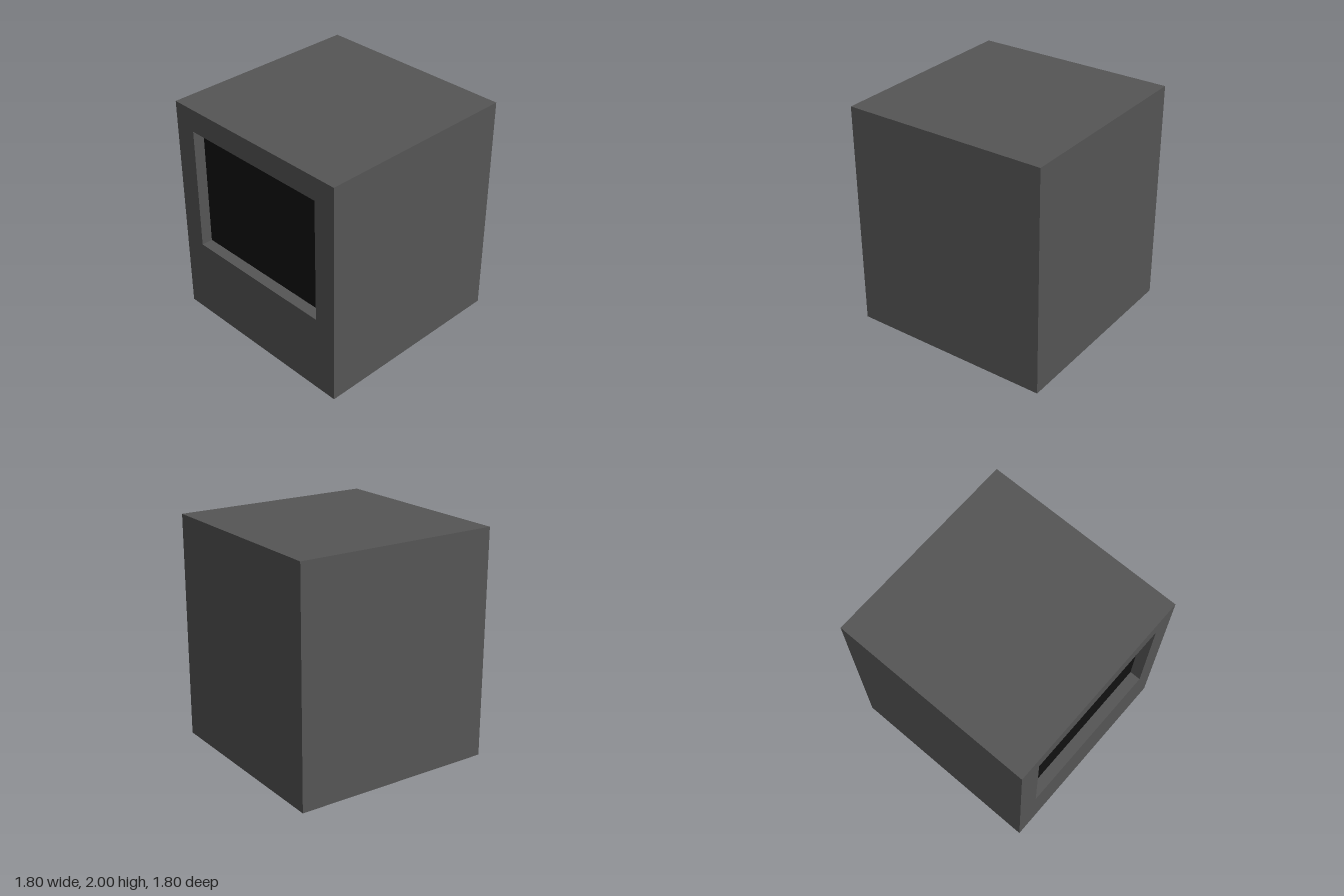
import * as THREE from 'three';

const W = 1.8, H = 2, D = 1.8;                 // cabinet size
const SW = 1.4, SH = 1.1, SY = 1.25, RECESS = 0.1; // screen opening

// Box keeping only the listed sides (0 +x, 1 -x, 2 +y, 3 -y, 4 +z, 5 -z), optionally facing inwards
function openBox(w, h, d, sides, inward = false) {
  const geo = new THREE.BoxGeometry(w, h, d);
  const all = Array.from(geo.index.array);
  const kept = sides.flatMap((s) => all.slice(s * 6, s * 6 + 6));
  geo.setIndex(inward ? kept.reverse() : kept);
  geo.clearGroups();
  if (inward) {
    const n = geo.attributes.normal;
    for (let i = 0; i < n.count; i++) n.setXYZ(i, -n.getX(i), -n.getY(i), -n.getZ(i));
  }
  return geo;
}

function rectangle(Path, w, h, y) {
  return new Path([
    [-w / 2, y - h / 2], [w / 2, y - h / 2], [w / 2, y + h / 2], [-w / 2, y + h / 2],
  ].map(([px, py]) => new THREE.Vector2(px, py)));
}

export function createModel() {
  const group = new THREE.Group();
  group.name = 'monitor';

  const casing = new THREE.MeshStandardMaterial({ name: 'casing grey', color: 0x555555 });
  const glass = new THREE.MeshStandardMaterial({ name: 'screen black', color: 0x111111 });

  const add = (name, geometry, material, y, z) => {
    const mesh = new THREE.Mesh(geometry, material);
    mesh.name = name;
    mesh.position.set(0, y, z);
    group.add(mesh);
  };

  // Outer casing, without its front
  add('casing', openBox(W, H, D, [0, 1, 2, 3, 5]), casing, H / 2, 0);

  // Front panel with the screen opening
  const front = rectangle(THREE.Shape, W, H, H / 2);
  front.holes.push(rectangle(THREE.Path, SW, SH, SY));
  add('frontPanel', new THREE.ShapeGeometry(front), casing, 0, D / 2);

  // Inner walls of the opening
  add('screenRecess', openBox(SW, SH, RECESS, [0, 1, 2, 3], true), casing, SY, D / 2 - RECESS / 2);

  // Sunken screen
  add('screen', new THREE.PlaneGeometry(SW, SH), glass, SY, D / 2 - RECESS);

  return group;
}
